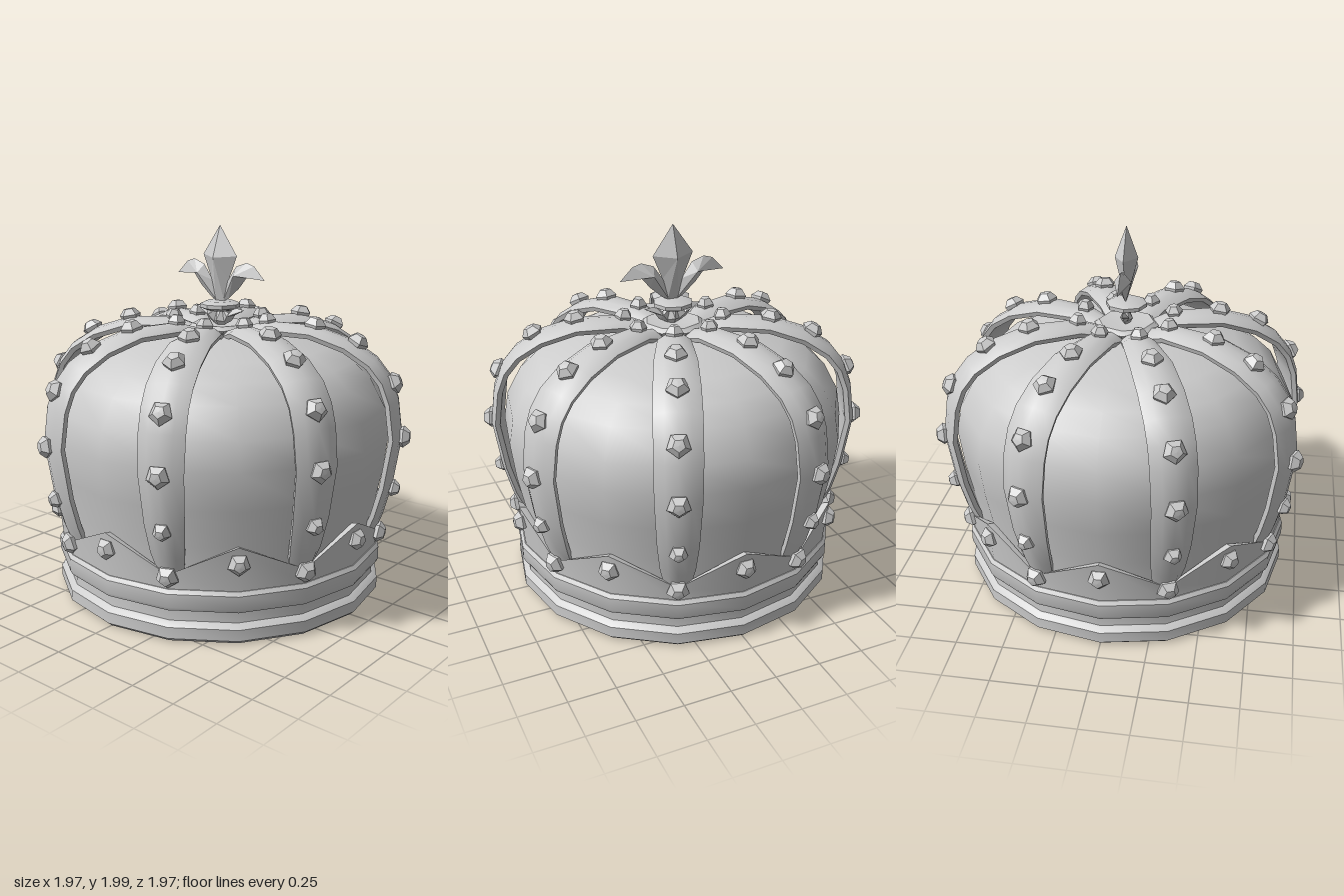
import * as THREE from 'three';
import { toCreasedNormals } from 'three/addons/utils/BufferGeometryUtils.js';

const metal = new THREE.MeshStandardMaterial({ color: 0xcccccc, side: THREE.DoubleSide });
metal.name = 'pale grey';

// Skin a list of equal-length cross-sections; each section is a closed loop of [x, y, z].
function skin(sections, closedPath, crease) {
  const n = sections[0].length, m = sections.length, index = [];
  for (let i = 0; i < (closedPath ? m : m - 1); i++) {
    for (let j = 0; j < n; j++) {
      const a = i * n + j, b = i * n + (j + 1) % n;
      const c = ((i + 1) % m) * n + j, d = ((i + 1) % m) * n + (j + 1) % n;
      index.push(a, c, b, b, c, d);
    }
  }
  if (!closedPath) {
    for (let j = 1; j < n - 1; j++) {
      index.push(0, j, j + 1);
      index.push((m - 1) * n, (m - 1) * n + j + 1, (m - 1) * n + j);
    }
  }
  const g = new THREE.BufferGeometry();
  g.setAttribute('position', new THREE.Float32BufferAttribute(sections.flat(2), 3));
  g.setIndex(index);
  return toCreasedNormals(g, crease);
}

// Faceted leaf: an outline in the xy plane with a raised ridge point front and back.
function leaf(outline, cx, cy, depth) {
  const p = [];
  outline.forEach((a, i) => {
    const b = outline[(i + 1) % outline.length];
    p.push(a[0], a[1], 0, b[0], b[1], 0, cx, cy, depth);
    p.push(b[0], b[1], 0, a[0], a[1], 0, cx, cy, -depth);
  });
  const g = new THREE.BufferGeometry();
  g.setAttribute('position', new THREE.Float32BufferAttribute(p, 3));
  g.computeVertexNormals();
  return g;
}

function add(parent, geometry, name) {
  const mesh = new THREE.Mesh(geometry, metal);
  mesh.name = name;
  parent.add(mesh);
  return mesh;
}

function lathe(points, sides, crease = 0.6) {
  return toCreasedNormals(new THREE.LatheGeometry(points.map(p => new THREE.Vector2(...p)), sides), crease);
}

// Five-sided cut stone, its axis along y
const gemGeometry = lathe([[0, -0.03], [0.05, -0.025], [0.062, 0.008], [0.032, 0.042], [0, 0.046]], 5, 0.2);

function addGem(parent, r, y, tilt, scale = 1) {
  const gem = add(parent, gemGeometry, 'gem');
  gem.position.set(0, y, r);
  gem.rotation.x = tilt;
  gem.scale.set(scale, 1, scale);
}

export function createModel() {
  const crown = new THREE.Group();
  crown.name = 'crown';

  // Base: two bevelled rings with a groove between them
  add(crown, lathe([[0, 0], [0.885, 0], [0.907, 0.02], [0.907, 0.08], [0.885, 0.1], [0.875, 0.105],
    [0.875, 0.165], [0.9, 0.17], [0.91, 0.19], [0.91, 0.26], [0.895, 0.28], [0.84, 0.285]], 16), 'baseRings');

  // Fabric cap
  add(crown, lathe([[0.85, 0.27], [0.875, 0.5], [0.915, 0.7], [0.94, 0.9], [0.915, 1.05], [0.835, 1.2],
    [0.74, 1.29], [0.6, 1.36], [0.34, 1.41], [0, 1.43]], 16, 1), 'cap');

  // Pointed wall: eight peaks with valleys between
  const wall = [];
  for (let i = 0; i < 16; i++) {
    const a = i * Math.PI / 8, top = i % 2 ? 0.36 : 0.52;
    const at = (r, y) => [r * Math.sin(a), y, r * Math.cos(a)];
    wall.push([at(0.89, 0.27), at(i % 2 ? 0.9 : 0.915, top), at(0.875, top - 0.01), at(0.86, 0.27)]);
  }
  add(crown, skin(wall, true, 0.6), 'pointedWall');

  // Arch centre line as [radius, height, width]
  const path = [[0.875, 0.32, 0.13], [0.925, 0.45, 0.18], [0.97, 0.62, 0.21], [1.012, 0.9, 0.235],
    [0.985, 1.1, 0.24], [0.94, 1.22, 0.24], [0.86, 1.32, 0.24], [0.72, 1.41, 0.235],
    [0.52, 1.475, 0.22], [0.26, 1.485, 0.175], [0.1, 1.435, 0.13]];
  const normals = path.map((p, i) => {
    const a = path[Math.max(i - 1, 0)], b = path[Math.min(i + 1, path.length - 1)];
    return new THREE.Vector2(b[1] - a[1], a[0] - b[0]).normalize();
  });
  const profile = [[-0.5, -0.035], [-0.27, -0.008], [0, 0], [0.27, -0.008], [0.5, -0.035], [0.46, -0.06], [-0.46, -0.06]];
  const archGeometry = skin(path.map(([r, y, w], i) => profile.map(([u, d]) =>
    [u * w, y + d * normals[i].y, r + d * normals[i].x])), false, 0.7);

  // Stones along each arch as [radius, height, tilt from upright]
  const stones = [[0.9, 0.35, 1.75], [0.967, 0.61, 1.75], [1.01, 0.9, 1.58], [0.952, 1.19, 1.15],
    [0.755, 1.395, 0.5], [0.525, 1.474, 0.18], [0.265, 1.484, -0.1]];
  for (let i = 0; i < 8; i++) {
    const arch = new THREE.Group();
    arch.name = 'arch';
    arch.rotation.y = (i + 0.5) * Math.PI / 4;
    add(arch, archGeometry, 'archBand');
    stones.forEach(([r, y, tilt], k) => addGem(arch, r, y, tilt, k === 1 || k === 6 ? 0.8 : 1));
    crown.add(arch);

    const point = new THREE.Group();
    point.name = 'pointStone';
    point.rotation.y = i * Math.PI / 4;
    addGem(point, 0.905, 0.43, Math.PI / 2, 0.95);
    crown.add(point);
  }

  // Hub where the arches meet
  add(crown, lathe([[0, 1.4], [0.14, 1.4], [0.175, 1.445], [0.15, 1.465], [0.06, 1.455], [0, 1.455]], 8), 'hub');

  // Finial: collar, centre blade and curled side leaves
  const finial = new THREE.Group();
  finial.name = 'finial';
  add(finial, lathe([[0, 1.535], [0.075, 1.535], [0.11, 1.55], [0.11, 1.57], [0.075, 1.585], [0, 1.585]], 8), 'collar');
  add(finial, leaf([[0.03, 1.58], [0.06, 1.7], [0.115, 1.83], [0, 1.99], [-0.115, 1.83], [-0.06, 1.7], [-0.03, 1.58]],
    0, 1.82, 0.062), 'centreBlade');
  add(finial, leaf([[0, 1.42], [0.045, 1.47], [0.015, 1.55], [-0.015, 1.55], [-0.045, 1.47]], 0, 1.48, 0.035), 'lowerBlade');
  const sideLeaf = leaf([[0.02, 1.58], [0.06, 1.6], [0.13, 1.66], [0.185, 1.725], [0.3, 1.715],
    [0.23, 1.785], [0.18, 1.8], [0.11, 1.775], [0.05, 1.69]], 0.125, 1.73, 0.045);
  const lowerLeaf = leaf([[0.01, 1.545], [0.02, 1.45], [0.08, 1.48], [0.105, 1.515], [0.165, 1.545],
    [0.1, 1.555], [0.06, 1.52]], 0.065, 1.505, 0.025);
  for (const turn of [0, Math.PI]) {
    add(finial, sideLeaf, 'sideLeaf').rotation.y = turn;
    add(finial, lowerLeaf, 'lowerLeaf').rotation.y = turn;
  }
  crown.add(finial);
  return crown;
}
